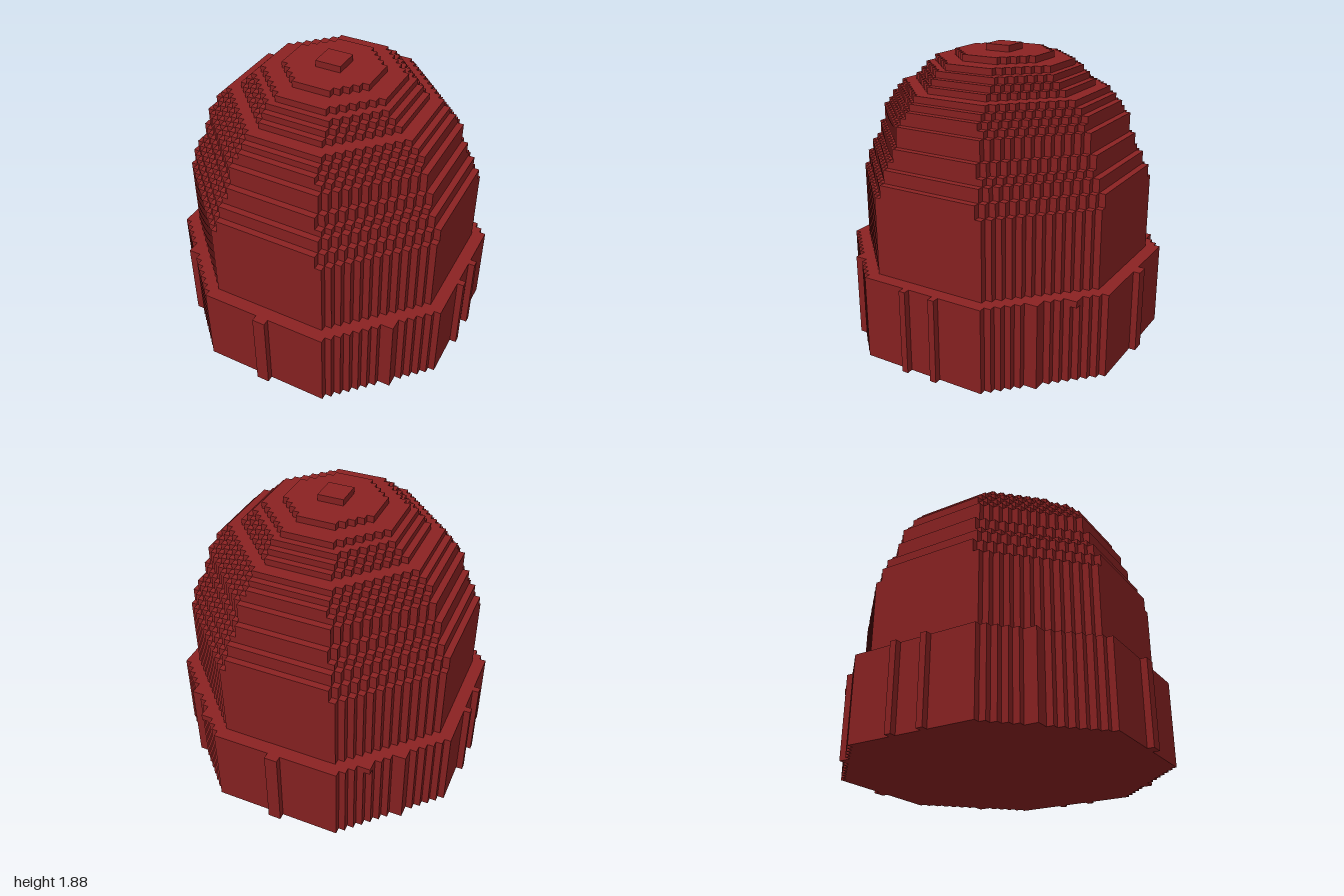
import * as THREE from 'three';

const U = 1 / 24; // size of one block

// Outline of a stepped octagon: r = half extent, a = half length of its flat sides
function octagon(r, a) {
  const quarter = [];
  for (let k = 0; k <= r - a; k++) {
    quarter.push([r - k, a + k]);
    if (k < r - a) quarter.push([r - k - 1, a + k]);
  }
  const points = [];
  for (let q = 0; q < 4; q++) {
    for (const [x, y] of quarter) {
      const [px, py] = [[x, y], [-y, x], [-x, -y], [y, -x]][q];
      points.push(new THREE.Vector2(px * U, py * U));
    }
  }
  return new THREE.Shape(points);
}

export function createModel() {
  const group = new THREE.Group();
  const darkRed = new THREE.MeshStandardMaterial({ color: 0x8b2222 });
  darkRed.name = 'darkRed';

  function layer(name, r, a, from, to) {
    const geometry = new THREE.ExtrudeGeometry(octagon(r, a), { depth: (to - from) * U, bevelEnabled: false });
    geometry.rotateX(-Math.PI / 2).translate(0, from * U, 0);
    const mesh = new THREE.Mesh(geometry, darkRed);
    mesh.name = name;
    group.add(mesh);
  }

  function block(name, x, z, width, from, to) {
    const mesh = new THREE.Mesh(new THREE.BoxGeometry(width * U, (to - from) * U, U), darkRed);
    mesh.name = name;
    mesh.position.set(x * U, (from + to) / 2 * U, z * U);
    group.add(mesh);
  }

  // Wide base band
  layer('baseBand', 23, 10, 0, 13);

  // Dome layers: half extent, half flat side, top height in blocks
  const dome = [
    [21, 9, 25], [21, 8, 27], [20, 8, 29], [19, 8, 30], [19, 7, 32], [18, 7, 35],
    [17, 7, 36], [17, 6, 37], [16, 6, 38], [15, 6, 39], [13, 5, 40], [12, 5, 41],
    [11, 5, 42], [10, 4, 43], [7, 3, 44], [2, 2, 45],
  ];
  let bottom = 13;
  for (const [r, a, top] of dome) {
    layer('domeLayer', r, a, bottom, top);
    bottom = top;
  }

  // Ribs on the base band
  for (const s of [-1, 1]) {
    block('centreRib', 0, s * 23.5, 2, 0, 13);
    for (const t of [-1, 1]) {
      block('sideRib', s * 23.5, t * 2.5, 1, 0, 13);
      block('cornerRib', s * 17.5, t * 15.5, 1, 0, 13);
    }
    block('cornerStud', s * 13.5, -19.5, 1, 12, 13);
  }
  return group;
}
